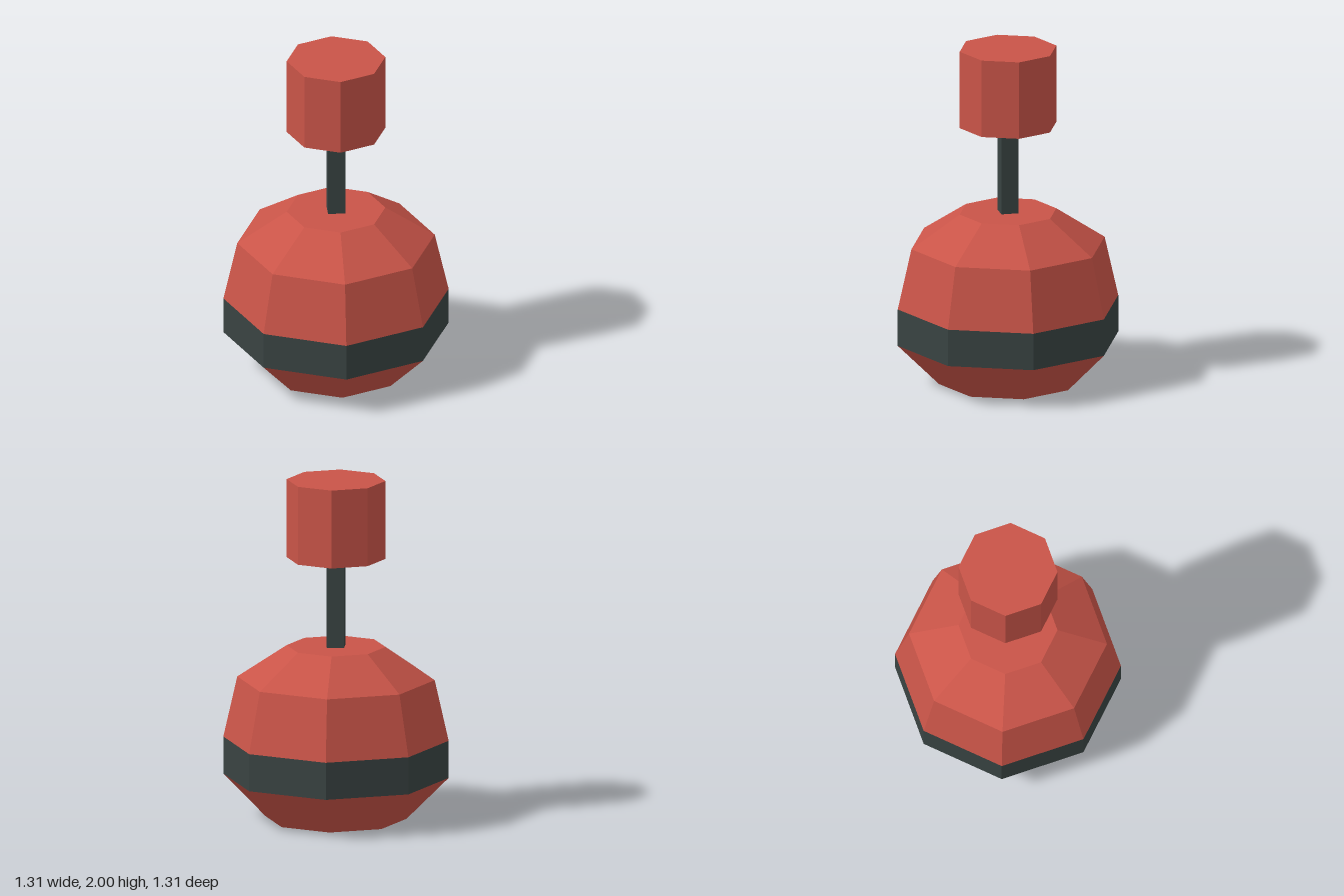
import * as THREE from 'three';

const red = new THREE.MeshStandardMaterial({ color: 0xc95448, flatShading: true });
red.name = 'red';
const charcoal = new THREE.MeshStandardMaterial({ color: 0x394342, flatShading: true });
charcoal.name = 'charcoal';

// Faceted ring between two heights; corners lie on the x and z axes
function frustum(name, material, y0, r0, y1, r1, sides = 8, open = false) {
  const geometry = new THREE.CylinderGeometry(r1, r0, y1 - y0, sides, 1, open);
  const mesh = new THREE.Mesh(geometry, material);
  mesh.name = name;
  mesh.position.y = (y0 + y1) / 2;
  return mesh;
}

// Flat octagonal cap facing up or down
function cap(name, y, r, up) {
  const geometry = new THREE.CircleGeometry(r, 8).rotateX(up ? -Math.PI / 2 : Math.PI / 2);
  const mesh = new THREE.Mesh(geometry, red);
  mesh.name = name;
  mesh.position.y = y;
  return mesh;
}

export function createModel() {
  const model = new THREE.Group();
  model.name = 'plunger';

  // Rounded body with a dark belt
  const body = new THREE.Group();
  body.name = 'body';
  body.add(
    cap('bodyBottom', 0, 0.41, false),
    frustum('lowerBody', red, 0, 0.41, 0.247, 0.655, 8, true),
    frustum('belt', charcoal, 0.247, 0.655, 0.467, 0.655, 8, true),
    frustum('upperBody', red, 0.467, 0.655, 0.825, 0.574, 8, true),
    frustum('shoulder', red, 0.825, 0.574, 1.016, 0.287, 8, true),
    cap('bodyTop', 1.016, 0.287, true),
  );

  // Square stem and octagonal knob
  model.add(
    body,
    frustum('stem', charcoal, 1.0, 0.072, 1.56, 0.072, 4),
    frustum('knob', red, 1.538, 0.287, 2, 0.287),
  );
  return model;
}
